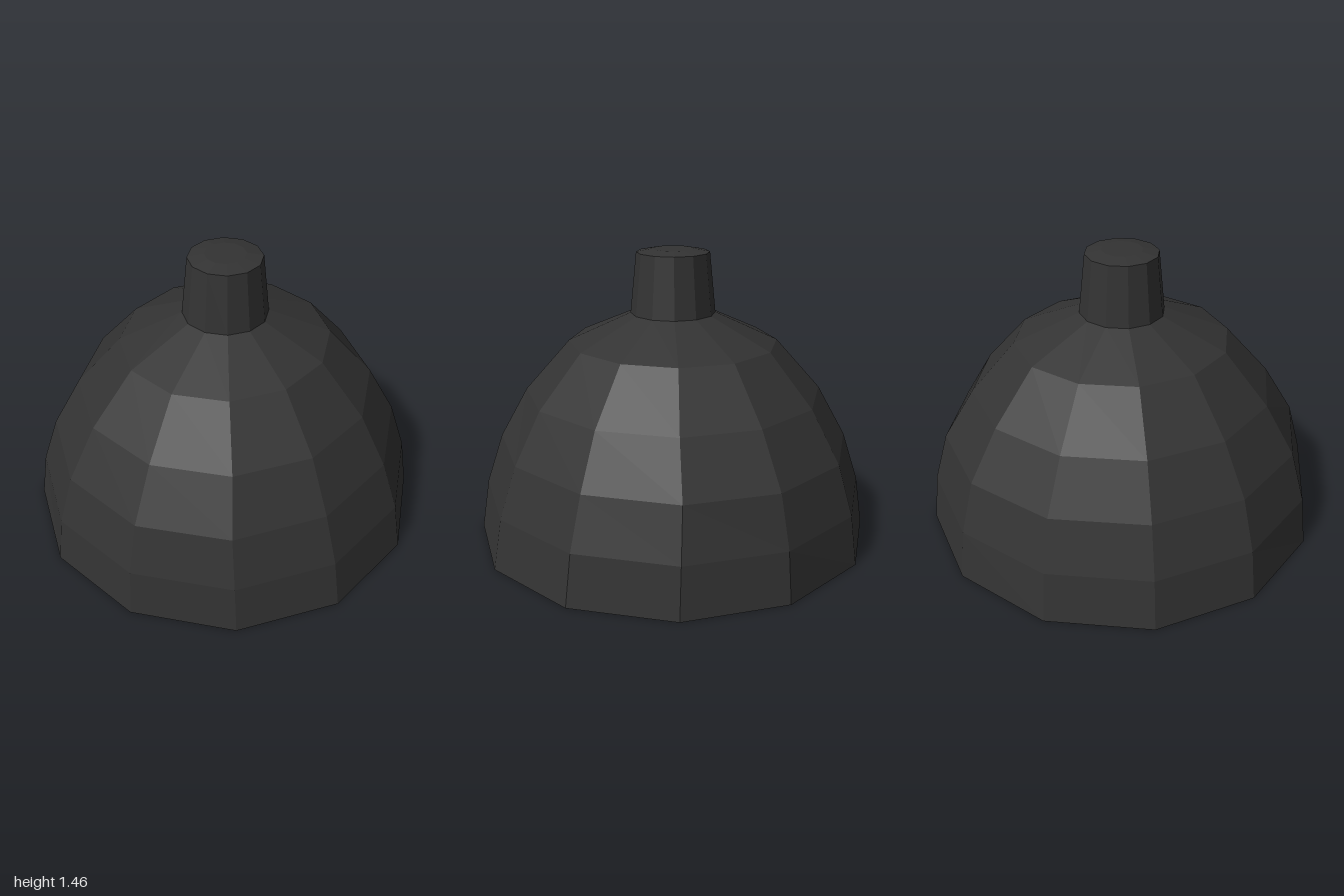
import * as THREE from 'three';

const SIDES = 12;

// Lathe from rows of [radius in x, radius in z, height]
function turned(name, rows, color) {
  const geo = new THREE.LatheGeometry(rows.map(([, rz, y]) => new THREE.Vector2(rz, y)), SIDES);
  const pos = geo.attributes.position;
  for (let i = 0; i < pos.count; i++) {
    const [rx, rz] = rows[i % rows.length];
    if (rz > 0) pos.setX(i, pos.getX(i) * rx / rz);
  }
  geo.computeVertexNormals();
  const mesh = new THREE.Mesh(geo, new THREE.MeshStandardMaterial({ color, flatShading: true }));
  mesh.name = name;
  return mesh;
}

export function createModel() {
  const group = new THREE.Group();
  group.name = 'pendantLamp';
  const dark = 0x333333;

  // Faceted shade: inner wall downwards, rim, outer wall upwards
  const outer = [
    [1, 1, 0], [0.957, 0.973, 0.25], [0.87, 0.904, 0.5],
    [0.735, 0.752, 0.75], [0.513, 0.533, 1], [0.21, 0.21, 1.14],
  ];
  const t = 0.035;
  const inner = outer.map(([rx, rz, y]) => [rx - t, rz - t, y - t * y]).reverse();
  group.add(turned('shade', [[0, 0, 1.1], ...inner, ...outer], dark));

  // Tapered neck with a slightly raised top
  group.add(turned('neck', [
    [0.21, 0.21, 1.14], [0.18, 0.18, 1.44], [0.1, 0.1, 1.455], [0, 0, 1.455],
  ], dark));

  // Round bulb with a stem running up into the neck
  const bulb = [[0, 0, 0.27]];
  const radius = 0.43, centre = 0.7;
  for (let i = 1; i <= 8; i++) {
    const a = i * Math.PI / 10.5;
    const r = radius * Math.sin(a);
    bulb.push([r, r, centre - radius * Math.cos(a)]);
  }
  bulb.push([0.14, 0.14, 1.1]);
  group.add(turned('bulb', bulb, 0xd8cc70));

  return group;
}
